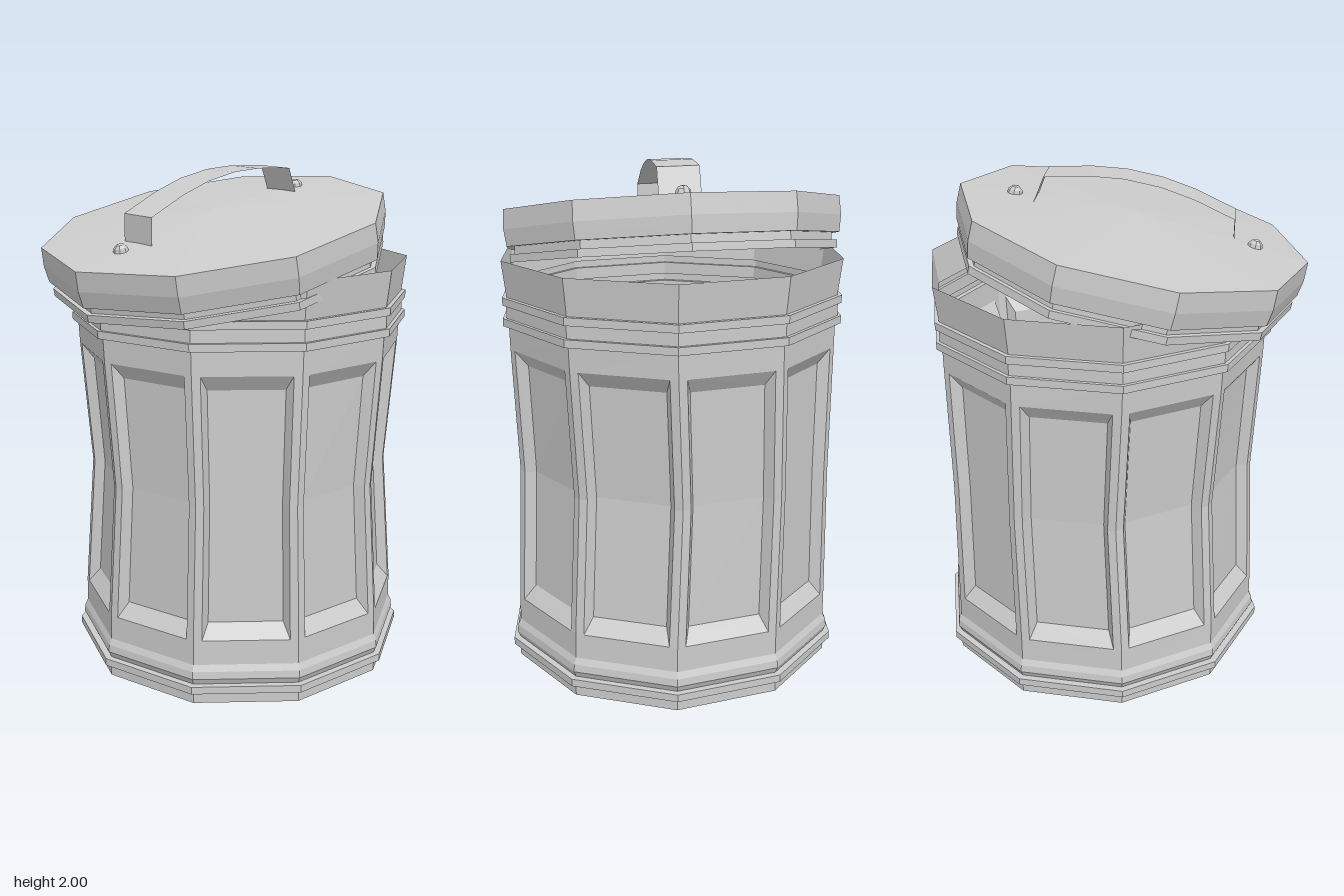
import * as THREE from 'three';

const SIDES = 10;
const material = new THREE.MeshStandardMaterial({ color: 0xcccccc, flatShading: true, side: THREE.DoubleSide });

function part(name, geometry, parent) {
  const mesh = new THREE.Mesh(geometry, material);
  mesh.name = name;
  parent.add(mesh);
  return mesh;
}

// Ten-sided turned shape from [radius, y] pairs, listed bottom to top
function turned(profile, twist = 0) {
  const points = profile.map(([r, y]) => new THREE.Vector2(r, y));
  return new THREE.LatheGeometry(points, SIDES, Math.PI / 2 + twist);
}

// Ten recessed panels around the body, pinched along x at mid height
function panelWall(radius, depth) {
  const rows = [0.16, 0.26, 0.32, 0.8, 1.24, 1.3, 1.395];
  const cols = [0, 0.08, 0.14, 0.86, 0.92, 1];
  const positions = [];
  const deep = (i, j) => i >= 2 && i <= 4 && j >= 2 && j <= 3;
  const step = (Math.PI * 2) / SIDES;
  for (let k = 0; k < SIDES; k++) {
    const a0 = k * step, a1 = a0 + step, mid = a0 + step / 2;
    const point = (i, j) => {
      const u = cols[j], y = rows[i], d = deep(i, j) ? depth : 0;
      const x = radius * THREE.MathUtils.lerp(Math.cos(a0), Math.cos(a1), u) - d * Math.cos(mid);
      const z = radius * THREE.MathUtils.lerp(Math.sin(a0), Math.sin(a1), u) - d * Math.sin(mid);
      const pinch = 1 - 0.065 * Math.max(0, 1 - Math.abs(y - 0.8) / 0.56);
      return [x * pinch, y, z];
    };
    for (let i = 0; i < rows.length - 1; i++) {
      for (let j = 0; j < cols.length - 1; j++) {
        const a = point(i, j), b = point(i, j + 1), c = point(i + 1, j + 1), d = point(i + 1, j);
        // The diagonal follows the bevel mitre at panel corners
        const quad = deep(i, j) !== deep(i + 1, j + 1) ? [a, c, b, a, d, c] : [a, d, b, b, d, c];
        positions.push(...quad.flat());
      }
    }
  }
  const geometry = new THREE.BufferGeometry();
  geometry.setAttribute('position', new THREE.Float32BufferAttribute(positions, 3));
  geometry.computeVertexNormals();
  return geometry;
}

// Flat strap bent along a symmetric arch
function strap(width) {
  const half = [[0.385, 0.015], [0.365, 0.12], [0.2, 0.16], [0.07, 0.178]];
  const path = [...half.map(([x, y]) => [-x, y]), ...half.slice().reverse()];
  const geometry = new THREE.PlaneGeometry(1, width, path.length - 1, 1);
  geometry.rotateX(-Math.PI / 2);
  const pos = geometry.attributes.position;
  for (let i = 0; i < pos.count; i++) {
    const [x, y] = path[i % path.length];
    pos.setXYZ(i, x, y, pos.getZ(i));
  }
  geometry.computeVertexNormals();
  return geometry;
}

export function createModel() {
  const model = new THREE.Group();
  model.name = 'trashCan';

  // Body
  const body = new THREE.Group();
  body.name = 'body';
  body.position.set(0.045, 0, -0.05);
  model.add(body);
  part('base', turned([
    [0, 0], [0.66, 0], [0.66, 0.05], [0.685, 0.05], [0.685, 0.08],
    [0.658, 0.08], [0.67, 0.105], [0.667, 0.135], [0.655, 0.16],
  ]), body);
  part('panelWall', panelWall(0.655, 0.04), body);
  part('rim', turned([
    [0.655, 1.395], [0.677, 1.395], [0.677, 1.425], [0.663, 1.425], [0.663, 1.475],
    [0.677, 1.475], [0.677, 1.505], [0.66, 1.505], [0.677, 1.645],
  ]), body);

  // Tilted lid, open underneath
  const lid = new THREE.Group();
  lid.name = 'lid';
  lid.position.set(-0.06, 1.8, 0.035);
  lid.quaternion.setFromUnitVectors(
    new THREE.Vector3(0, 1, 0), new THREE.Vector3(-0.137, 1, 0.151).normalize());
  model.add(lid);
  part('lidShell', turned([
    [0.665, -0.2], [0.665, -0.17], [0.645, -0.17], [0.645, -0.14],
    [0.675, -0.14], [0.684, -0.075], [0.68, 0], [0, 0.045],
  ], 0.082), lid);

  // Handle and its rivets
  const handle = new THREE.Group();
  handle.name = 'handle';
  handle.rotation.y = 0.717;
  lid.add(handle);
  part('strap', strap(0.16), handle);
  for (const side of [-1, 1]) {
    part('rivet', new THREE.SphereGeometry(0.03, 8, 6), handle).position.set(side * 0.468, 0.013, 0);
  }
  return model;
}
